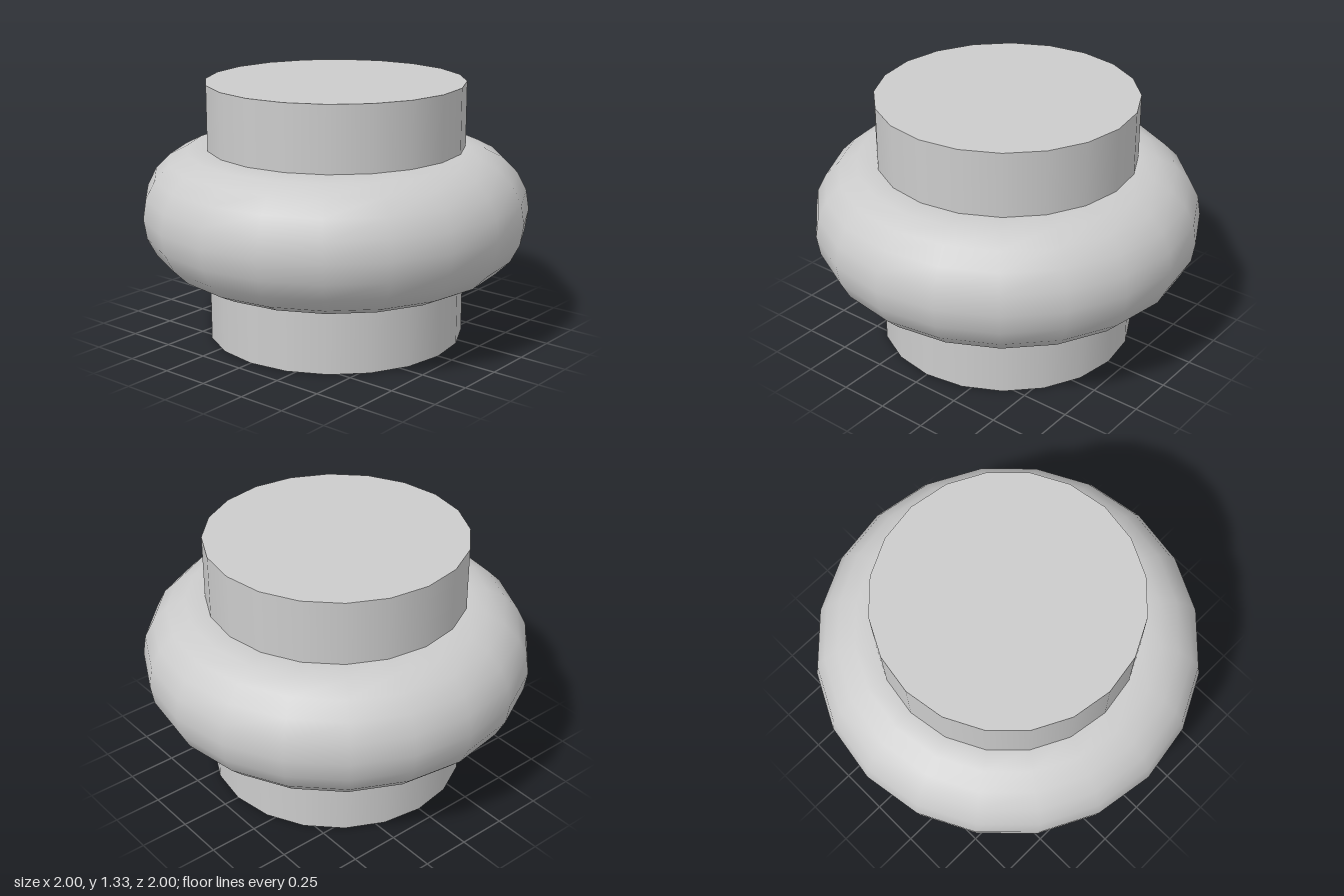
import * as THREE from 'three';

const SIDES = 20;
const RADIUS = 2 / 3;      // column radius, also the ring's centre line
const HEIGHT = 4 / 3;

export function createModel() {
  const model = new THREE.Group();
  model.name = 'ringedColumn';
  const material = new THREE.MeshStandardMaterial({ color: 0xcccccc });

  const add = (name, geometry) => {
    const mesh = new THREE.Mesh(geometry, material);
    mesh.name = name;
    mesh.position.y = HEIGHT / 2;
    model.add(mesh);
  };

  // Solid column running through the ring
  add('column', new THREE.CylinderGeometry(RADIUS, RADIUS, HEIGHT, SIDES));

  // Thick rounded ring lying flat around the middle
  add('ring', new THREE.TorusGeometry(RADIUS, RADIUS / 2, SIDES, SIDES).rotateX(-Math.PI / 2));

  return model;
}
